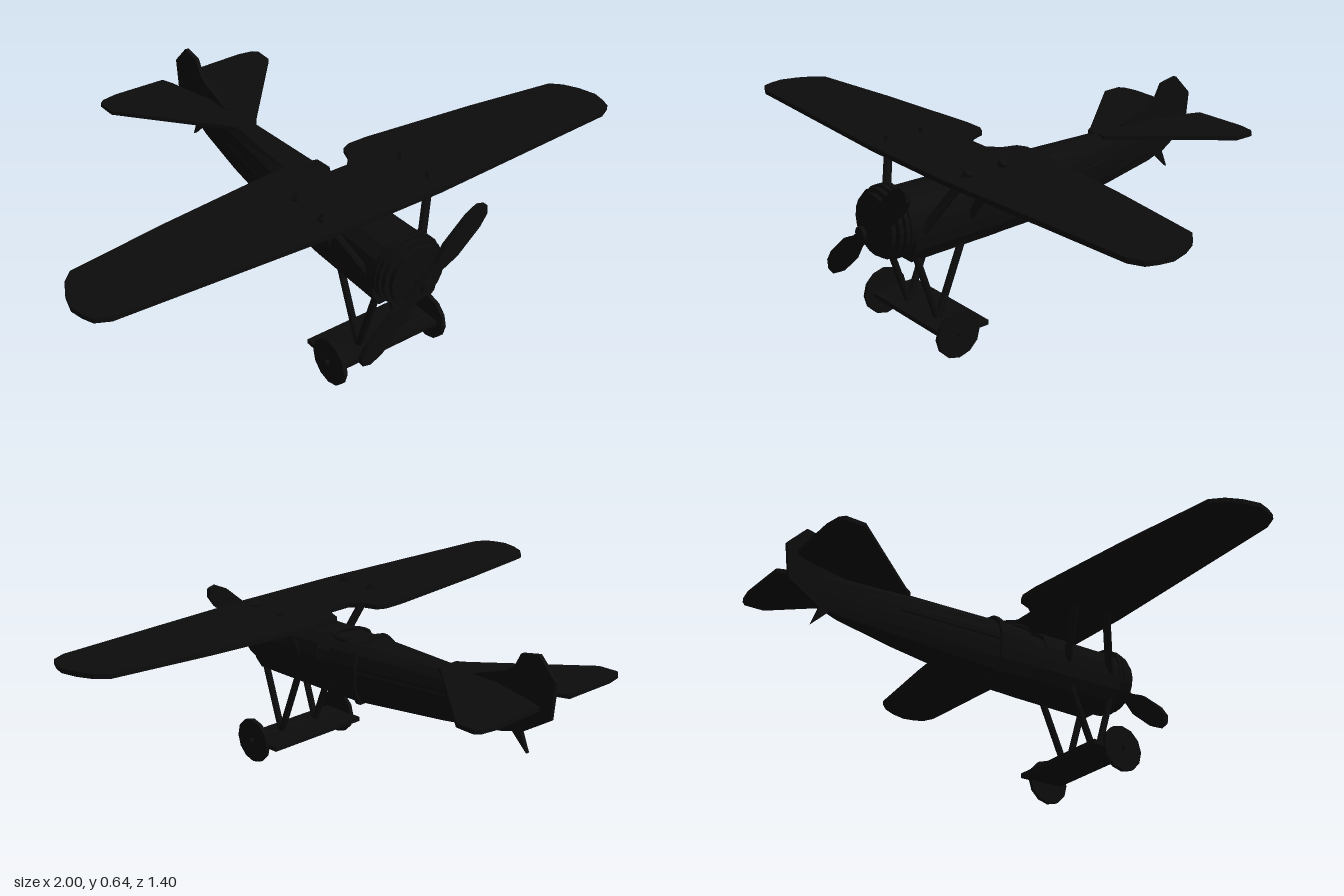
import * as THREE from 'three';

const mat = new THREE.MeshStandardMaterial({ color: 0x0c0c0c, flatShading: true, side: THREE.DoubleSide });
const V = (x, y, z) => new THREE.Vector3(x, y, z);

function add(parent, name, geo) {
  const m = new THREE.Mesh(geo, mat);
  m.name = name;
  parent.add(m);
  return m;
}

// Round bar between two points; depth stretches its section along z
function bar(parent, name, a, b, r) {
  const m = add(parent, name, new THREE.CylinderGeometry(r, r, a.distanceTo(b), 8));
  m.position.copy(a).add(b).multiplyScalar(0.5);
  m.quaternion.setFromUnitVectors(V(0, 1, 0), b.clone().sub(a).normalize());
  return m;
}

// Disc whose axis runs along z
function disc(parent, name, r, t, y, z, n = 16) {
  const m = add(parent, name, new THREE.CylinderGeometry(r, r, t, n).rotateX(Math.PI / 2));
  m.position.set(0, y, z);
  return m;
}

const shapeOf = pts => new THREE.Shape(pts.map(p => new THREE.Vector2(p[0], p[1])));

// Flat horizontal surface from an outline in x and z
function plate(pts, y, t) {
  return new THREE.ExtrudeGeometry(shapeOf(pts.map(([x, z]) => [x, -z])), { depth: t, bevelEnabled: false })
    .rotateX(-Math.PI / 2).translate(0, y - t / 2, 0);
}

// Flat vertical surface from an outline in z and y
function upright(pts, t) {
  return new THREE.ExtrudeGeometry(shapeOf(pts), { depth: t, bevelEnabled: false })
    .rotateY(-Math.PI / 2).translate(t / 2, 0, 0);
}

// Half of the fuselage cross-section: fraction of half width, fraction of height
const half = [[0.74, 0], [0.95, 0.2], [1, 0.4], [1, 0.62], [0.88, 0.82], [0.55, 0.96], [0, 1]];
const ring = half.concat(half.slice(0, -1).reverse().map(([x, y]) => [-x, y]));

// Loft through sections [z, half width, bottom, top], front to back
function loft(sections) {
  const pos = [], idx = [], n = ring.length;
  for (const [z, w, b, t] of sections) for (const [x, y] of ring) pos.push(x * w, b + y * (t - b), z);
  for (let i = 0; i < sections.length - 1; i++) {
    for (let j = 0; j < n; j++) {
      const k = (j + 1) % n, a = i * n + j, b = i * n + k;
      idx.push(a, a + n, b + n, a, b + n, b);
    }
  }
  const e = (sections.length - 1) * n;
  for (let j = 1; j < n - 1; j++) idx.push(0, j, j + 1, e, e + j + 1, e + j);
  const g = new THREE.BufferGeometry();
  g.setAttribute('position', new THREE.Float32BufferAttribute(pos, 3));
  g.setIndex(idx);
  g.computeVertexNormals();
  return g;
}

export function createModel() {
  const plane = new THREE.Group();
  plane.name = 'monoplane';

  // Fuselage with a dip for the cockpit
  add(plane, 'fuselage', loft([
    [0.57, 0.115, 0.315, 0.52], [0.25, 0.105, 0.315, 0.52], [0.249, 0.105, 0.315, 0.5],
    [0.2, 0.1, 0.315, 0.5], [0.199, 0.1, 0.315, 0.52], [0.085, 0.095, 0.315, 0.52],
    [-0.28, 0.055, 0.347, 0.52], [-0.5, 0.02, 0.37, 0.518], [-0.58, 0.008, 0.39, 0.515],
  ]));
  add(plane, 'frameHoop', loft([[0.086, 0.102, 0.308, 0.535], [0.066, 0.1, 0.308, 0.535]]));
  const rim = add(plane, 'cockpitRim', new THREE.TorusGeometry(0.062, 0.008, 6, 16).rotateX(Math.PI / 2));
  rim.position.set(0, 0.512, 0.185);

  // Engine: finned round block, shaft and hub
  const engine = new THREE.Group();
  engine.name = 'engine';
  plane.add(engine);
  disc(engine, 'engineCore', 0.092, 0.09, 0.43, 0.595);
  [[0.637, 0.1], [0.617, 0.113], [0.597, 0.119], [0.578, 0.119]].forEach(([z, r]) =>
    disc(engine, 'engineFin', r, 0.014, 0.43, z, 20));
  disc(engine, 'propellerShaft', 0.011, 0.07, 0.414, 0.66, 10);
  disc(engine, 'propellerHub', 0.024, 0.012, 0.414, 0.69, 12);

  // Propeller: two blades, slanted
  const propeller = new THREE.Group();
  propeller.name = 'propeller';
  propeller.position.set(0, 0.414, 0.66);
  propeller.rotation.z = 0.72;
  plane.add(propeller);
  const blade = shapeOf([[0, -0.018], [0.07, -0.02], [0.13, -0.037], [0.24, -0.037], [0.285, -0.025],
    [0.302, 0], [0.285, 0.025], [0.24, 0.037], [0.13, 0.037], [0.07, 0.02], [0, 0.018]]);
  for (const turn of [0, Math.PI]) {
    add(propeller, 'blade', new THREE.ExtrudeGeometry(blade, { depth: 0.018, bevelEnabled: false })).rotation.z = turn;
  }

  // Wing with a rounded cut-out over the cockpit
  const wingHalf = [[0.19, 0.515], [0.93, 0.477], [0.975, 0.455], [0.99, 0.42], [1, 0.375], [0.985, 0.315],
    [0.96, 0.265], [0.925, 0.23], [0.6, 0.185], [0.19, 0.142], [0.12, 0.142], [0.09, 0.157], [0.075, 0.2], [0.04, 0.24]];
  const mirrored = pts => pts.concat(pts.slice().reverse().map(([x, z]) => [-x, z]));
  add(plane, 'wing', plate(mirrored(wingHalf), 0.592, 0.016));

  // Tail surfaces
  const tailHalf = [[0.04, -0.26], [0.06, -0.29], [0.33, -0.605], [0.332, -0.675], [0.315, -0.69],
    [0.26, -0.7], [0.07, -0.695], [0.053, -0.65], [0.04, -0.6], [0.012, -0.48]];
  for (const s of [1, -1]) {
    add(plane, 'tailplane', plate(tailHalf.concat([[0, -0.48], [0, -0.26]]).map(([x, z]) => [s * x, z]), 0.514, 0.014));
  }
  add(plane, 'finAndRudder', upright([[-0.38, 0.525], [-0.5, 0.565], [-0.54, 0.59], [-0.565, 0.637],
    [-0.633, 0.65], [-0.7, 0.58], [-0.687, 0.455], [-0.575, 0.385], [-0.5, 0.4], [-0.38, 0.45]], 0.014));
  add(plane, 'tailSkid', upright([[-0.53, 0.39], [-0.55, 0.37], [-0.6, 0.322], [-0.575, 0.385]], 0.014));

  // Parts on both sides
  for (const s of [1, -1]) {
    bar(plane, 'frontWingStrut', V(s * 0.21, 0.612, 0.437), V(s * 0.1, 0.41, 0.535), 0.014);
    bar(plane, 'rearWingStrut', V(s * 0.21, 0.612, 0.305), V(s * 0.095, 0.41, 0.35), 0.014);
    bar(plane, 'frontGearLeg', V(s * 0.08, 0.33, 0.55), V(s * 0.08, 0.09, 0.475), 0.012);
    bar(plane, 'rearGearLeg', V(s * 0.08, 0.33, 0.375), V(s * 0.08, 0.09, 0.475), 0.012);
    bar(plane, 'sideRail', V(s * 0.092, 0.425, 0.08), V(s * 0.05, 0.44, -0.3), 0.006);
    const wheel = add(plane, 'wheel', new THREE.CylinderGeometry(0.08, 0.08, 0.014, 12).rotateZ(Math.PI / 2));
    wheel.position.set(s * 0.2, 0.088, 0.485);
  }

  // Axle and its flat fairing
  bar(plane, 'axle', V(-0.22, 0.09, 0.485), V(0.22, 0.09, 0.485), 0.009);
  add(plane, 'axleFairing', new THREE.BoxGeometry(0.4, 0.016, 0.17)).position.set(0, 0.088, 0.45);

  return plane;
}
